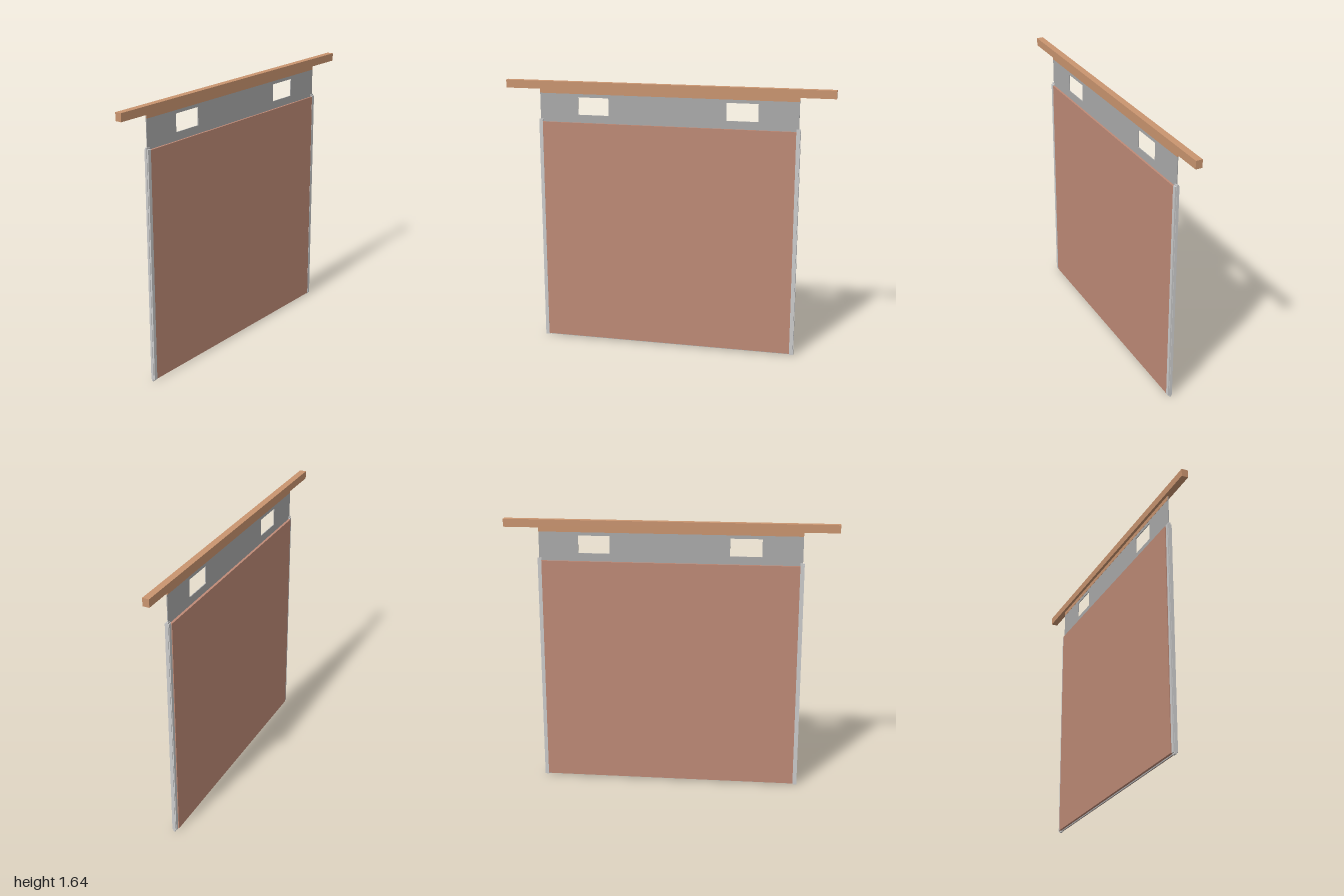
import * as THREE from 'three';

const paint = (color) => new THREE.MeshStandardMaterial({ color });

export function createModel() {
  const group = new THREE.Group();
  const wood = paint(0xc9946f);
  const board = paint(0xbe8a76);
  const sheetGrey = paint(0xaaaaaa);
  const grey = paint(0xcccccc);

  // Box given by its lower and upper limits on each axis
  function box(name, material, [x0, x1], [y0, y1], [z0, z1]) {
    const mesh = new THREE.Mesh(new THREE.BoxGeometry(x1 - x0, y1 - y0, z1 - z0), material);
    mesh.position.set((x0 + x1) / 2, (y0 + y1) / 2, (z0 + z1) / 2);
    mesh.name = name;
    group.add(mesh);
  }

  // Hanging beam and the fixing strip below it
  box('beam', wood, [-1, 1], [1.597, 1.645], [-0.02, 0.02]);
  box('fixingStrip', wood, [-0.79, 0.79], [1.57, 1.597], [-0.0035, 0.0035]);

  // Thin core sheet with two rectangular hand openings
  const outline = new THREE.Shape([
    new THREE.Vector2(-0.79, 0.003), new THREE.Vector2(0.79, 0.003),
    new THREE.Vector2(0.79, 1.597), new THREE.Vector2(-0.79, 1.597),
  ]);
  for (const cx of [-0.455, 0.455]) {
    outline.holes.push(new THREE.Path([
      new THREE.Vector2(cx - 0.095, 1.443), new THREE.Vector2(cx - 0.095, 1.55),
      new THREE.Vector2(cx + 0.095, 1.55), new THREE.Vector2(cx + 0.095, 1.443),
    ]));
  }
  const sheet = new THREE.Mesh(
    new THREE.ExtrudeGeometry(outline, { depth: 0.005, bevelEnabled: false }), sheetGrey);
  sheet.position.z = -0.0025;
  sheet.name = 'coreSheet';
  group.add(sheet);

  // Facing boards on both sides of the sheet
  box('frontBoard', board, [-0.775, 0.775], [0.01, 1.395], [0.0025, 0.014]);
  box('backBoard', board, [-0.775, 0.775], [0.01, 1.395], [-0.017, -0.0025]);

  // Edge rails: a tall web with a flange on each face
  for (const side of [-1, 1]) {
    const span = (a, b) => (side > 0 ? [a, b] : [-b, -a]);
    box('railWeb', grey, span(0.775, 0.8), [0, 1.41], [-0.006, 0.006]);
    box('railFrontFlange', grey, span(0.775, 0.797), [0.01, 1.4], [0.006, 0.015]);
    box('railBackFlange', grey, span(0.775, 0.797), [0.01, 1.4], [-0.012, -0.006]);
  }

  return group;
}
